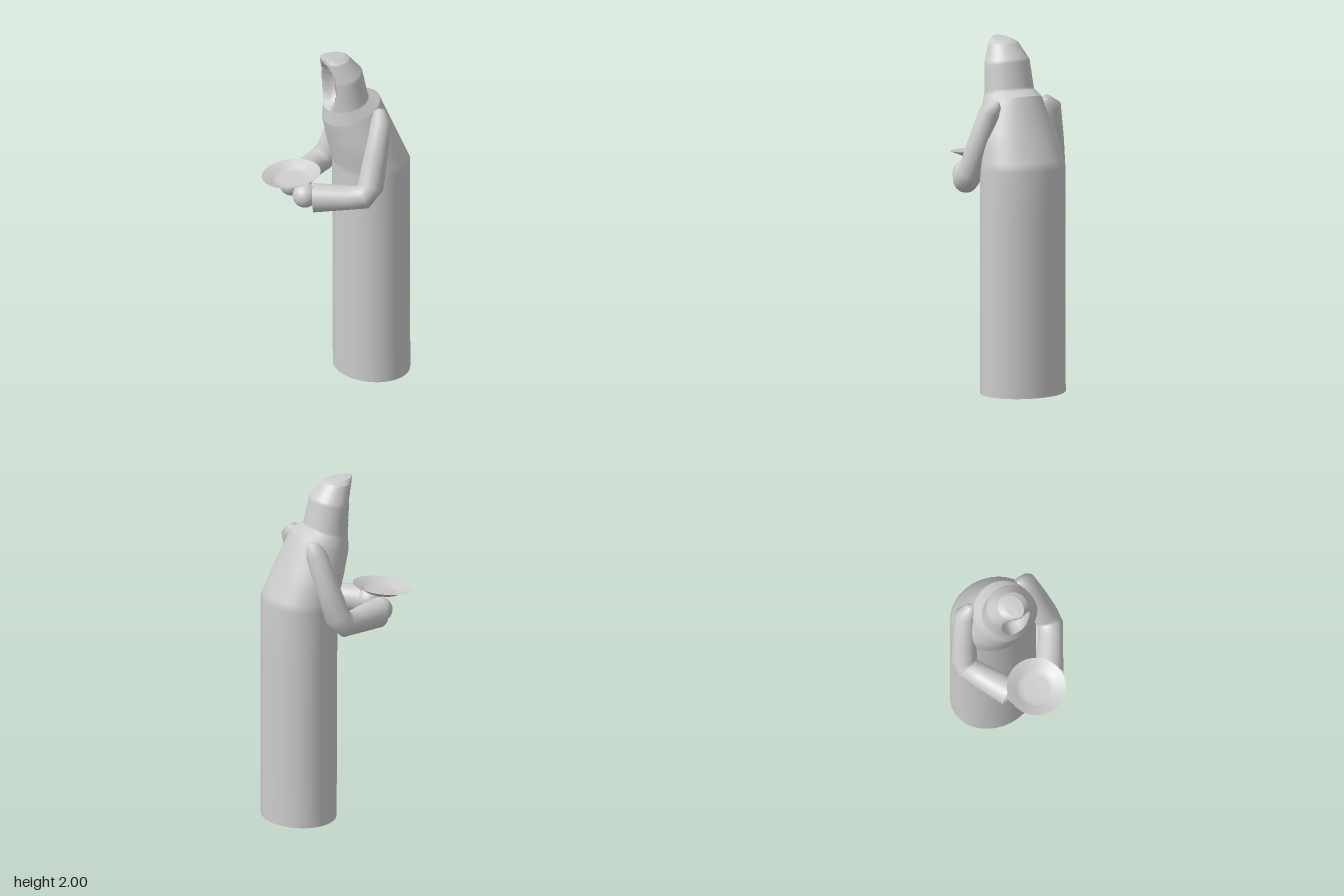
import * as THREE from 'three';

const material = new THREE.MeshStandardMaterial({ color: 0xcccccc, side: THREE.DoubleSide });

// Skin a list of rings (arrays of Vector3, each ring closed) into one smooth surface.
function skin(rings) {
  const n = rings[0].length, pos = [], index = [];
  rings.forEach(r => r.forEach(p => pos.push(p.x, p.y, p.z)));
  for (let i = 0; i < rings.length - 1; i++) {
    for (let j = 0; j < n; j++) {
      const k = (j + 1) % n;
      const a = i * n + j, b = i * n + k, c = a + n, d = b + n;
      index.push(a, c, b, b, c, d);
    }
  }
  const g = new THREE.BufferGeometry();
  g.setAttribute('position', new THREE.Float32BufferAttribute(pos, 3));
  g.setIndex(index);
  g.computeVertexNormals();
  return g;
}

function add(parent, name, geometry) {
  const mesh = new THREE.Mesh(geometry, material);
  mesh.name = name;
  parent.add(mesh);
  return mesh;
}

// Robe and hood: tilted oval sections [front x, front y, back x, back y, half width]
const robeSections = [
  [0.02, 0, 0.44, 0, 0.25],
  [0.015, 1.28, 0.44, 1.30, 0.25],
  [-0.025, 1.44, 0.36, 1.48, 0.23],
  [-0.06, 1.58, 0.265, 1.70, 0.175],
  [-0.055, 1.67, 0.19, 1.73, 0.145],
  [-0.07, 1.84, 0.155, 1.89, 0.132],
  [-0.083, 1.96, 0.08, 1.975, 0.085],
  [-0.09, 1.995, 0.06, 1.985, 0.05],
  [-0.05, 1.995, 0.0, 1.992, 0.0],
];

function robeGeometry() {
  const n = 80, rings = [];
  const ring = ([fx, fy, bx, by, w]) => {
    const pts = [];
    for (let j = 0; j < n; j++) {
      const t = j / n * Math.PI * 2, s = (1 - Math.cos(t)) / 2;
      const p = new THREE.Vector3(fx + (bx - fx) * s, fy + (by - fy) * s, w * Math.sin(t));
      // hollow face opening at the front of the hood
      const d = (p.z / 0.085) ** 2 + ((p.y - 1.82) / 0.15) ** 2;
      if (s < 0.5 && d < 1) p.x += 0.13 * Math.sqrt(1 - d);
      pts.push(p);
    }
    return pts;
  };
  for (let i = 0; i < robeSections.length - 1; i++) {
    const steps = i < 3 ? 4 : 12;
    for (let k = 0; k < steps; k++) {
      rings.push(ring(robeSections[i].map((v, c) => v + (robeSections[i + 1][c] - v) * k / steps)));
    }
  }
  rings.push(ring(robeSections[robeSections.length - 1]));
  return skin(rings);
}

// Sleeve: round sections [x, y, z, radius] from shoulder to cuff
const sleeveSections = [
  [0.205, 1.672, 0.14, 0.004],
  [0.202, 1.66, 0.155, 0.035],
  [0.195, 1.62, 0.195, 0.06],
  [0.14, 1.42, 0.235, 0.068],
  [0.095, 1.26, 0.262, 0.074],
  [0.045, 1.208, 0.268, 0.072],
  [-0.03, 1.203, 0.228, 0.07],
  [-0.195, 1.192, 0.125, 0.083],
];

function sleeveGeometry(side) {
  const n = 28;
  const centres = sleeveSections.map(([x, y, z]) => new THREE.Vector3(x, y, z * side));
  const up = new THREE.Vector3(0.8, -0.6, 0);
  const rings = centres.map((c, i) => {
    const before = centres[Math.max(i - 1, 0)], after = centres[Math.min(i + 1, centres.length - 1)];
    const dir = after.clone().sub(before).normalize();
    const u = up.clone().addScaledVector(dir, -up.dot(dir)).normalize();
    const v = new THREE.Vector3().crossVectors(u, dir);
    return Array.from({ length: n }, (_, j) => {
      const t = j / n * Math.PI * 2, r = sleeveSections[i][3];
      return c.clone().addScaledVector(u, r * Math.cos(t)).addScaledVector(v, r * Math.sin(t));
    });
  });
  return skin(rings);
}

export function createModel() {
  const model = new THREE.Group();
  model.name = 'robedServant';

  add(model, 'hoodedRobe', robeGeometry());

  // Flat underside of the robe
  const base = add(model, 'robeBase', new THREE.CircleGeometry(1, 64));
  base.rotation.x = Math.PI / 2;
  base.scale.set(0.21, 0.25, 1);
  base.position.x = 0.23;

  for (const [side, label] of [[1, 'front'], [-1, 'back']]) {
    const arm = new THREE.Group();
    arm.name = label + 'Arm';
    add(arm, 'sleeve', sleeveGeometry(side));
    const hand = add(arm, 'hand', new THREE.SphereGeometry(0.07, 24, 16));
    hand.position.set(-0.23, 1.197, 0.085 * side);
    model.add(arm);
  }

  // Shallow dish held out ahead
  const profile = [[0, -0.038], [0.07, -0.037], [0.1, -0.034], [0.108, -0.026], [0.167, 0]]
    .map(([r, y]) => new THREE.Vector2(r, y));
  const dish = add(model, 'dish', new THREE.LatheGeometry(profile, 48));
  dish.position.set(-0.275, 1.305, 0);
  dish.rotation.z = 0.12;

  return model;
}
